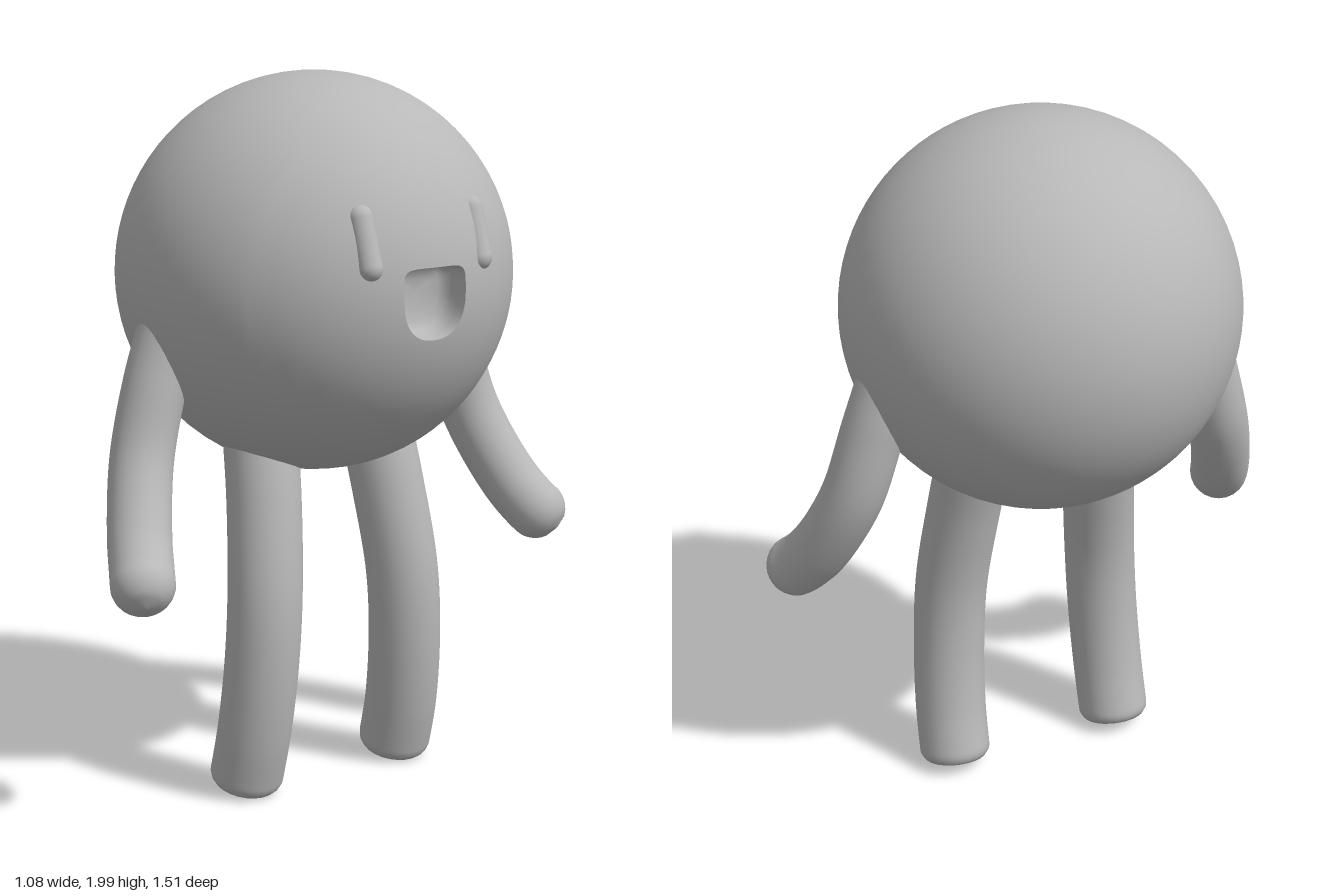
import * as THREE from 'three';

const SIDES = 24;

// Smooth skin through rings of points, each ring turning counterclockwise about the direction of travel
function loft(rings) {
  const n = rings[0].length, index = [];
  for (let i = 0; i < rings.length - 1; i++) {
    for (let j = 0; j < n; j++) {
      const k = (j + 1) % n;
      const a = i * n + j, b = i * n + k, c = a + n, d = b + n;
      index.push(a, b, c, b, d, c);
    }
  }
  const g = new THREE.BufferGeometry().setFromPoints(rings.flat());
  g.setIndex(index);
  g.computeVertexNormals();
  return g;
}

// Bent limb of constant radius whose free end is rounded off by `round`
function limb(points, radius, round) {
  const curve = new THREE.CatmullRomCurve3(points.map(p => new THREE.Vector3(...p)));
  const length = curve.getLength(), n = 100;
  const frames = curve.computeFrenetFrames(n);
  const rings = [];
  const addRing = (i, r) => {
    const centre = curve.getPointAt(i / n), ring = [];
    for (let j = 0; j < SIDES; j++) {
      const a = j / SIDES * Math.PI * 2;
      ring.push(centre.clone()
        .addScaledVector(frames.normals[i], r * Math.cos(a))
        .addScaledVector(frames.binormals[i], r * Math.sin(a)));
    }
    rings.push(ring);
  };
  for (let i = 0; i <= n; i++) {
    const left = Math.min(round, length * (1 - i / n));
    addRing(i, radius - round + Math.sqrt(round ** 2 - (round - left) ** 2));
  }
  addRing(n, (radius - round) * 0.8);
  addRing(n, 0.0005);
  return loft(rings);
}

export function createModel() {
  const model = new THREE.Group();
  const grey = new THREE.MeshStandardMaterial({ color: 0xb8b8b8 });
  grey.name = 'soft grey';
  const add = (name, geometry, mirror = false) => {
    const mesh = new THREE.Mesh(geometry, grey);
    mesh.name = name;
    if (mirror) mesh.scale.z = -1;
    model.add(mesh);
    return mesh;
  };

  // Head: rings spread from the D-shaped mouth rim over the ball to its back
  const R = 0.545, headY = 1.455, N = 72, K = 56;
  const mouthPoint = (a, s) => {
    const c = Math.cos(a), q = Math.sin(a), e = c > 0 ? 6 : 2.4;
    const r = s / (Math.abs(c) ** e + Math.abs(q) ** e) ** (1 / e);
    return [0.005 + r * c * (c > 0 ? 0.07 : 0.12), -r * q * 0.1];
  };
  const ringOf = f => Array.from({ length: N }, (_, j) => f(j / N * Math.PI * 2));
  const headRings = [];
  for (let k = 0; k <= K; k++) {
    const t = k / K, theta = 0.2 + (Math.PI - 0.2) * t, w = Math.max(0, 1 - t / 0.25);
    headRings.push(ringOf(a => {
      const [my, mz] = mouthPoint(a, 1), r = R * Math.sin(theta);
      const y = THREE.MathUtils.lerp(r * Math.cos(a), my, w);
      const z = THREE.MathUtils.lerp(-r * Math.sin(a), mz, w);
      const x = w > 0 ? Math.sqrt(R * R - y * y - z * z) : R * Math.cos(theta);
      return new THREE.Vector3(Math.min(x, 0.54), headY + y, z);
    }));
  }
  add('head', loft(headRings));

  // Mouth: hollow bowl from its floor out to the rim
  const bowl = [[0.005, 0.45], [0.4, 0.451], [0.7, 0.457], [0.85, 0.468], [0.93, 0.485], [0.97, 0.505]];
  const mouthRings = bowl.map(([s, x]) => ringOf(a => {
    const [y, z] = mouthPoint(a, s);
    return new THREE.Vector3(x, headY + y, z);
  }));
  mouthRings.push(headRings[0]);
  add('mouth', loft(mouthRings));

  // Eyes: upright pills leaning with the face
  for (const side of [1, -1]) {
    const low = new THREE.Vector3(0.492, 1.536, 0.178 * side);
    const high = new THREE.Vector3(0.45, 1.66, 0.178 * side);
    const dir = high.clone().sub(low);
    const eye = add(side > 0 ? 'eyeA' : 'eyeB', new THREE.CapsuleGeometry(0.035, dir.length(), 8, 20));
    eye.position.copy(low).add(high).multiplyScalar(0.5);
    eye.quaternion.setFromUnitVectors(new THREE.Vector3(0, 1, 0), dir.normalize());
  }

  // Arms and legs, mirrored across z
  const arm = limb([
    [-0.025, 1.34, 0.45], [-0.022, 1.2, 0.5], [0, 1.0, 0.56],
    [0.085, 0.82, 0.622], [0.15, 0.74, 0.656], [0.235, 0.668, 0.7],
  ], 0.086, 0.08);
  const leg = limb([
    [0.01, 1.06, 0.19], [0.06, 0.85, 0.21], [0.1, 0.6, 0.235],
    [0.1, 0.4, 0.247], [0.075, 0.2, 0.256], [0.032, 0.03, 0.26],
  ], 0.103, 0.04);
  for (const mirror of [false, true]) {
    add(mirror ? 'armB' : 'armA', arm, mirror);
    add(mirror ? 'legB' : 'legA', leg, mirror);
  }
  return model;
}
